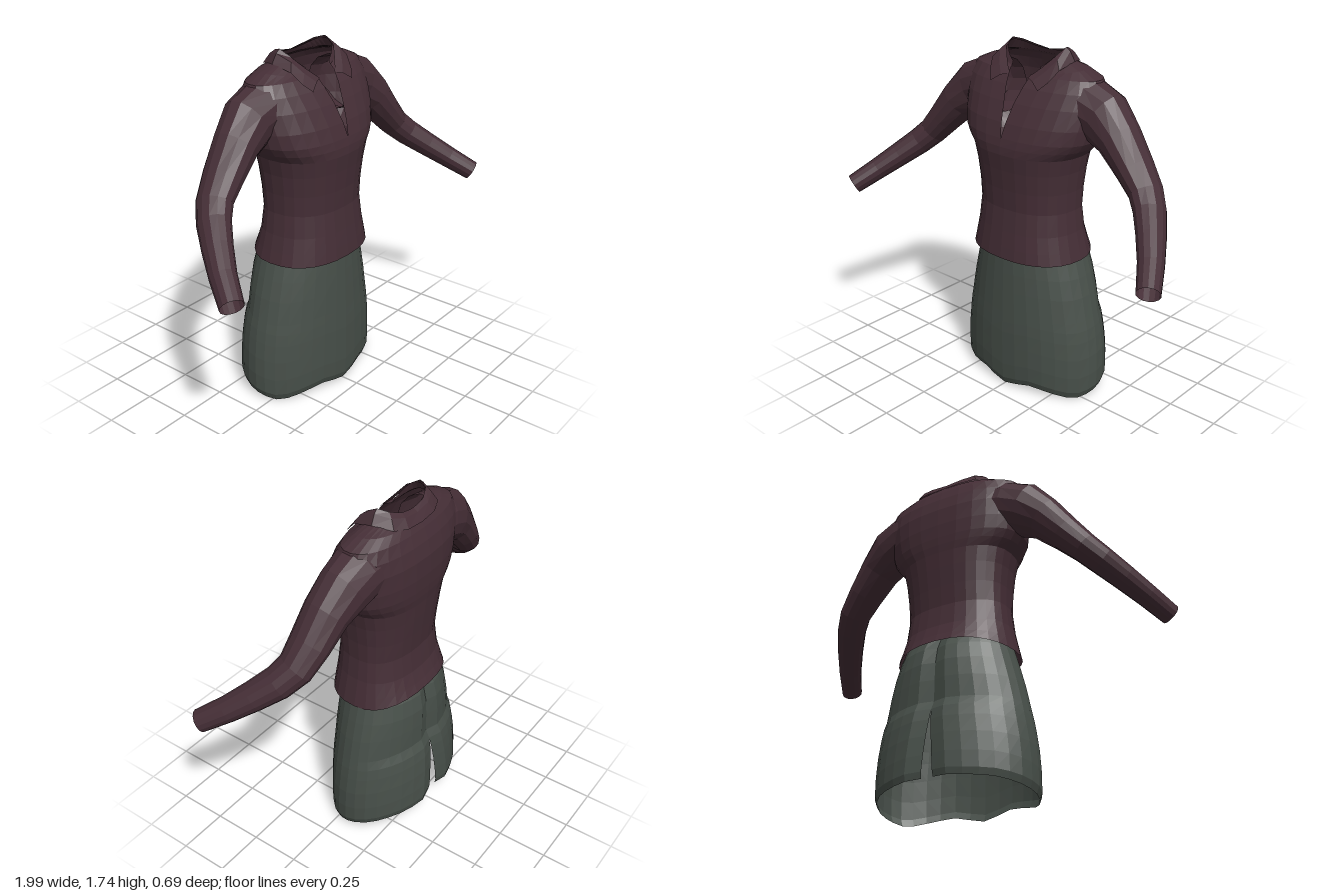
import * as THREE from 'three';

const V = (x, y, z) => new THREE.Vector3(x, y, z);
const lerp = THREE.MathUtils.lerp;

const plum = new THREE.MeshStandardMaterial({ color: 0x452e36, side: THREE.DoubleSide });
plum.name = 'plum cloth';
const green = new THREE.MeshStandardMaterial({ color: 0x474f49, side: THREE.DoubleSide });
green.name = 'grey green cloth';

// Faceted skin over a stack of equally long point rows; mirror flips it to the other side
function loft(name, rows, material, mirror = false) {
  const pts = mirror ? rows.map(r => r.map(p => V(-p.x, p.y, p.z)).reverse()) : rows;
  const n = pts[0].length, index = [];
  for (let i = 0; i < pts.length - 1; i++) {
    for (let j = 0; j < n - 1; j++) {
      const a = i * n + j, d = a + n;
      index.push(a, a + 1, d + 1, a, d + 1, d);
    }
  }
  let geo = new THREE.BufferGeometry().setFromPoints(pts.flat());
  geo.setIndex(index);
  geo = geo.toNonIndexed();
  geo.computeVertexNormals();
  const mesh = new THREE.Mesh(geo, material);
  mesh.name = name;
  return mesh;
}

// Point of a body cross-section; angle 0 is the front, PI/2 the left side; e below 1 is boxier
function section(angle, hw, zf, zb, zc, e) {
  const s = Math.sin(angle), c = Math.cos(angle);
  const x = hw * Math.sign(s) * Math.abs(s) ** e;
  return V(x, 0, lerp(zc, c > 0 ? zf : zb, Math.abs(c) ** e));
}

// Shirt body, split down the front so that the neck opens in a V
function shirtBody() {
  // height, half width, front z, back z, side z, half gap, front drop, back drop
  const levels = [
    [0.73, 0.308, 0.185, -0.28, -0.06, 0, 0, -0.04],
    [0.79, 0.294, 0.178, -0.262, -0.06, 0, 0, -0.02],
    [0.87, 0.276, 0.168, -0.24, -0.06, 0, 0, 0],
    [0.98, 0.264, 0.155, -0.225, -0.06, 0, 0, 0],
    [1.08, 0.268, 0.16, -0.235, -0.06, 0, 0, 0],
    [1.18, 0.28, 0.17, -0.247, -0.06, 0, 0, 0],
    [1.26, 0.298, 0.181, -0.256, -0.06, 0, 0, 0],
    [1.3, 0.335, 0.18, -0.262, -0.06, 0, 0, 0],
    [1.34, 0.362, 0.173, -0.266, -0.06, 0, 0, 0],
    [1.41, 0.38, 0.153, -0.27, -0.065, 0.012, 0, 0],
    [1.5, 0.39, 0.115, -0.268, -0.075, 0.03, 0, 0],
    [1.57, 0.39, 0.077, -0.252, -0.085, 0.05, 0, 0],
    [1.625, 0.365, 0.038, -0.23, -0.09, 0.065, 0, 0],
    [1.66, 0.285, 0.015, -0.21, -0.09, 0.08, 0.03, 0],
    [1.685, 0.2, 0.005, -0.185, -0.09, 0.085, 0.055, 0.01],
    [1.735, 0.163, 0.0, -0.168, -0.09, 0.085, 0.1, 0.035],
  ];
  const e = 0.85, n = 28;
  const rows = levels.map(([y, hw, zf, zb, zc, gap, dropF, dropB]) => {
    const start = Math.asin((gap / hw) ** (1 / e)), row = [];
    for (let j = 0; j <= n; j++) {
      const a = lerp(start, 2 * Math.PI - start, j / n), c = Math.cos(a);
      const p = section(a, hw, zf, zb, zc, e);
      p.y = y - (c > 0 ? dropF : dropB) * c * c;
      row.push(p);
    }
    return row;
  });
  return loft('shirtBody', rows, plum);
}

// Tapered sleeve bent forward at the elbow and open at the wrist
function sleeve(mirror) {
  // centre x, y, z, radius in the arm's plane, radius front to back
  const path = [
    [0.20, 1.51, -0.09, 0.135, 0.14],
    [0.31, 1.495, -0.09, 0.138, 0.128],
    [0.40, 1.46, -0.088, 0.136, 0.118],
    [0.50, 1.385, -0.07, 0.104, 0.108],
    [0.60, 1.275, -0.055, 0.084, 0.099],
    [0.68, 1.187, -0.035, 0.072, 0.088],
    [0.74, 1.125, 0.015, 0.068, 0.08],
    [0.81, 1.055, 0.1, 0.062, 0.071],
    [0.88, 0.983, 0.195, 0.056, 0.062],
    [0.95, 0.908, 0.307, 0.051, 0.055],
  ];
  const mids = path.map(p => V(p[0], p[1], p[2]));
  const n = 14;
  const rows = path.map((p, i) => {
    const t = mids[Math.min(i + 1, mids.length - 1)].clone().sub(mids[Math.max(i - 1, 0)]).normalize();
    const u = V(0, 0, 1).addScaledVector(t, -t.z).normalize();
    const v = t.clone().cross(u);
    return Array.from({ length: n + 1 }, (_, j) => {
      const a = (j / n) * Math.PI * 2;
      return mids[i].clone().addScaledVector(u, p[4] * Math.cos(a)).addScaledVector(v, p[3] * Math.sin(a));
    });
  });
  return loft(mirror ? 'rightSleeve' : 'leftSleeve', rows, plum, mirror);
}

// Folded collar half, from the nape round to the front point
function collar(mirror) {
  const inner = [
    V(0, 1.7, -0.172), V(0.08, 1.712, -0.167), V(0.14, 1.732, -0.142), V(0.165, 1.746, -0.095),
    V(0.152, 1.712, -0.035), V(0.107, 1.66, 0.008), V(0.057, 1.612, 0.05),
  ];
  const outer = [
    V(0, 1.65, -0.222), V(0.1, 1.655, -0.217), V(0.172, 1.668, -0.19), V(0.212, 1.685, -0.1),
    V(0.207, 1.66, 0.005), V(0.18, 1.608, 0.052), V(0.145, 1.572, 0.083),
  ];
  const fold = inner.map((p, i) => p.clone().lerp(outer[i], 0.45).add(V(0, 0.01, 0)));
  // reversed, so that each row runs from the front to the nape and the skin faces outward
  const rows = [outer, fold, inner].map(r => r.slice().reverse());
  return loft(mirror ? 'rightCollar' : 'leftCollar', rows, plum, mirror);
}

// Hem height around the skirt: a wave in front, rising to the back
function hemHeight(angle) {
  const stops = [[0, 0.01], [24, 0.045], [62, 0], [90, 0.03], [130, 0.075], [180, 0.1]];
  const d = Math.abs(angle) * 180 / Math.PI;
  const k = Math.max(1, stops.findIndex(s => d <= s[0]));
  const [d0, h0] = stops[k - 1], [d1, h1] = stops[k];
  return lerp(h0, h1, (d - d0) / (d1 - d0));
}

// Skirt with an inset back seam that opens into a slit
function skirt() {
  // height, half width, front z, back z, half slit
  const levels = [
    [0, 0.402, 0.162, -0.35, 0.03],
    [0.035, 0.415, 0.174, -0.356, 0.028],
    [0.12, 0.416, 0.178, -0.353, 0.022],
    [0.22, 0.41, 0.178, -0.346, 0.013],
    [0.31, 0.398, 0.178, -0.336, 0.004],
    [0.37, 0.388, 0.176, -0.325, 0],
    [0.42, 0.377, 0.174, -0.303, 0],
    [0.54, 0.352, 0.17, -0.302, 0],
    [0.64, 0.326, 0.166, -0.297, 0],
    [0.73, 0.3, 0.162, -0.28, 0],
    [0.82, 0.272, 0.152, -0.24, 0],
  ];
  const top = 0.82, n = 32;
  const rows = levels.map(([y, hw, zf, zb, gap]) => {
    const end = Math.PI - Math.asin(gap / hw);
    return Array.from({ length: n + 1 }, (_, j) => {
      const a = lerp(-end, end, j / n);
      const p = section(a, hw, zf, zb, -0.08, 1);
      p.y = lerp(hemHeight(a), top, y / top);
      if (j === 0 || j === n) p.z += 0.025;
      return p;
    });
  });
  return loft('skirt', rows, green);
}

export function createModel() {
  const model = new THREE.Group();
  model.name = 'shirtAndSkirt';
  model.add(shirtBody(), skirt());
  for (const mirror of [false, true]) model.add(sleeve(mirror), collar(mirror));
  return model;
}
